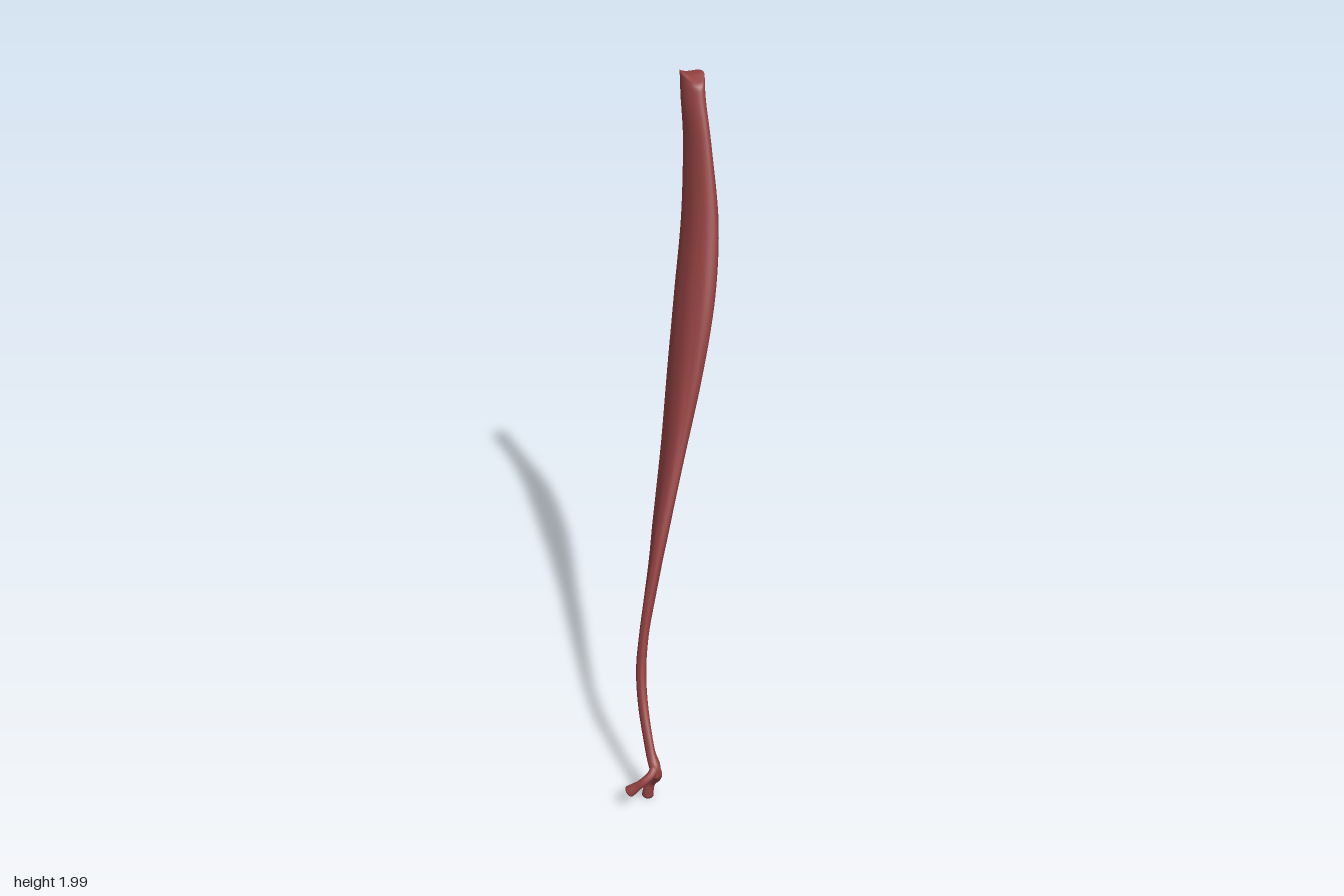
import * as THREE from 'three';

const material = new THREE.MeshStandardMaterial({ color: 0x944242 });

// Belly cross-sections: y, x min, x max, z min, z max, skew of the oval
const SECTIONS = [
  [0.125, -0.182, -0.160, 0.255, 0.278, 0],
  [0.16, -0.186, -0.153, 0.232, 0.272, 0],
  [0.20, -0.180, -0.155, 0.202, 0.242, 0],
  [0.30, -0.168, -0.140, 0.142, 0.182, -0.1],
  [0.40, -0.153, -0.123, 0.102, 0.142, -0.2],
  [0.50, -0.131, -0.098, 0.076, 0.118, -0.4],
  [0.60, -0.106, -0.063, 0.050, 0.102, -0.5],
  [0.70, -0.077, -0.022, 0.010, 0.088, -0.6],
  [0.80, -0.047, 0.020, -0.035, 0.073, -0.6],
  [1.00, 0.018, 0.092, -0.108, 0.038, -0.5],
  [1.20, 0.073, 0.158, -0.160, 0.004, -0.25],
  [1.40, 0.122, 0.212, -0.200, -0.032, -0.05],
  [1.60, 0.167, 0.247, -0.235, -0.084, 0],
  [1.80, 0.195, 0.249, -0.260, -0.145, 0.1],
  [1.92, 0.198, 0.248, -0.268, -0.187, 0.3],
  [1.985, 0.201, 0.252, -0.276, -0.207, 0.4],
];

// Closed loft of skewed ovals with shallow lengthwise fibre grooves
function bellyGeometry(rings = 100, sides = 36) {
  const centre = new THREE.CatmullRomCurve3(SECTIONS.map(([y, x0, x1, z0, z1]) =>
    new THREE.Vector3((x0 + x1) / 2, y, (z0 + z1) / 2)), false, 'catmullrom');
  const size = new THREE.CatmullRomCurve3(SECTIONS.map(([, x0, x1, z0, z1, skew]) =>
    new THREE.Vector3((x1 - x0) / 2, (z1 - z0) / 2, skew)), false, 'catmullrom');
  const pos = [], index = [];
  for (let i = 0; i <= rings; i++) {
    const u = i / rings, c = centre.getPoint(u), s = size.getPoint(u);
    const shift = Math.asin(s.z);
    const lip = THREE.MathUtils.smoothstep(u, 0.96, 1);
    const groove = 0.022 * Math.sin(Math.PI * u);
    for (let j = 0; j < sides; j++) {
      const t = (j / sides) * Math.PI * 2;
      const k = 1 + groove * (Math.sin(5 * t + 9 * u) + 0.6 * Math.sin(9 * t - 6 * u) - 0.8);
      pos.push(c.x + s.x * k * Math.cos(t),
        c.y + lip * (0.008 * Math.cos(2 * t) - 0.007 * Math.sin(t)),
        c.z + s.y * k * Math.sin(t + shift));
    }
  }
  for (let i = 0; i < rings; i++) {
    for (let j = 0; j < sides; j++) {
      const a = i * sides + j, b = i * sides + (j + 1) % sides;
      index.push(a, a + sides, b, b, a + sides, b + sides);
    }
  }
  // End caps, the upper one slightly hollow
  const low = pos.length / 3, high = low + 1, last = rings * sides;
  const p0 = centre.getPoint(0), p1 = centre.getPoint(1);
  pos.push(p0.x, p0.y - 0.004, p0.z, p1.x, p1.y - 0.008, p1.z);
  for (let j = 0; j < sides; j++) {
    const n = (j + 1) % sides;
    index.push(low, j, n, high, last + n, last + j);
  }
  const geo = new THREE.BufferGeometry();
  geo.setAttribute('position', new THREE.Float32BufferAttribute(pos, 3));
  geo.setIndex(index);
  geo.computeVertexNormals();
  return geo;
}

// Tube whose radius follows a rule and closes at both ends
function tendonGeometry(points, radius) {
  const curve = new THREE.CatmullRomCurve3(points.map(p => new THREE.Vector3(...p)));
  const steps = 32, sides = 14;
  const geo = new THREE.TubeGeometry(curve, steps, 1, sides);
  const pos = geo.attributes.position, v = new THREE.Vector3();
  for (let i = 0; i <= steps; i++) {
    const c = curve.getPointAt(i / steps);
    const r = i === 0 || i === steps ? 0.0005 : radius(i / steps);
    for (let j = 0; j <= sides; j++) {
      const k = i * (sides + 1) + j;
      v.fromBufferAttribute(pos, k).sub(c).multiplyScalar(r).add(c);
      pos.setXYZ(k, v.x, v.y, v.z);
    }
  }
  geo.computeVertexNormals();
  return geo;
}

export function createModel() {
  const group = new THREE.Group();
  const add = (name, geo) => {
    const mesh = new THREE.Mesh(geo, material);
    mesh.name = name;
    group.add(mesh);
  };

  add('muscleBelly', bellyGeometry());

  // Forked lower tendon, each slip flaring at its tip
  const flare = u => 0.012 + 0.005 * THREE.MathUtils.smoothstep(u, 0.6, 1);
  add('lowerTendonSlip', tendonGeometry([
    [-0.169, 0.165, 0.25], [-0.163, 0.13, 0.262], [-0.157, 0.10, 0.245],
    [-0.159, 0.06, 0.215], [-0.164, 0.03, 0.208], [-0.165, 0.004, 0.205],
  ], flare));
  add('sideTendonSlip', tendonGeometry([
    [-0.169, 0.16, 0.255], [-0.185, 0.142, 0.267], [-0.21, 0.122, 0.265],
    [-0.228, 0.10, 0.252], [-0.246, 0.078, 0.238],
  ], flare));

  return group;
}
